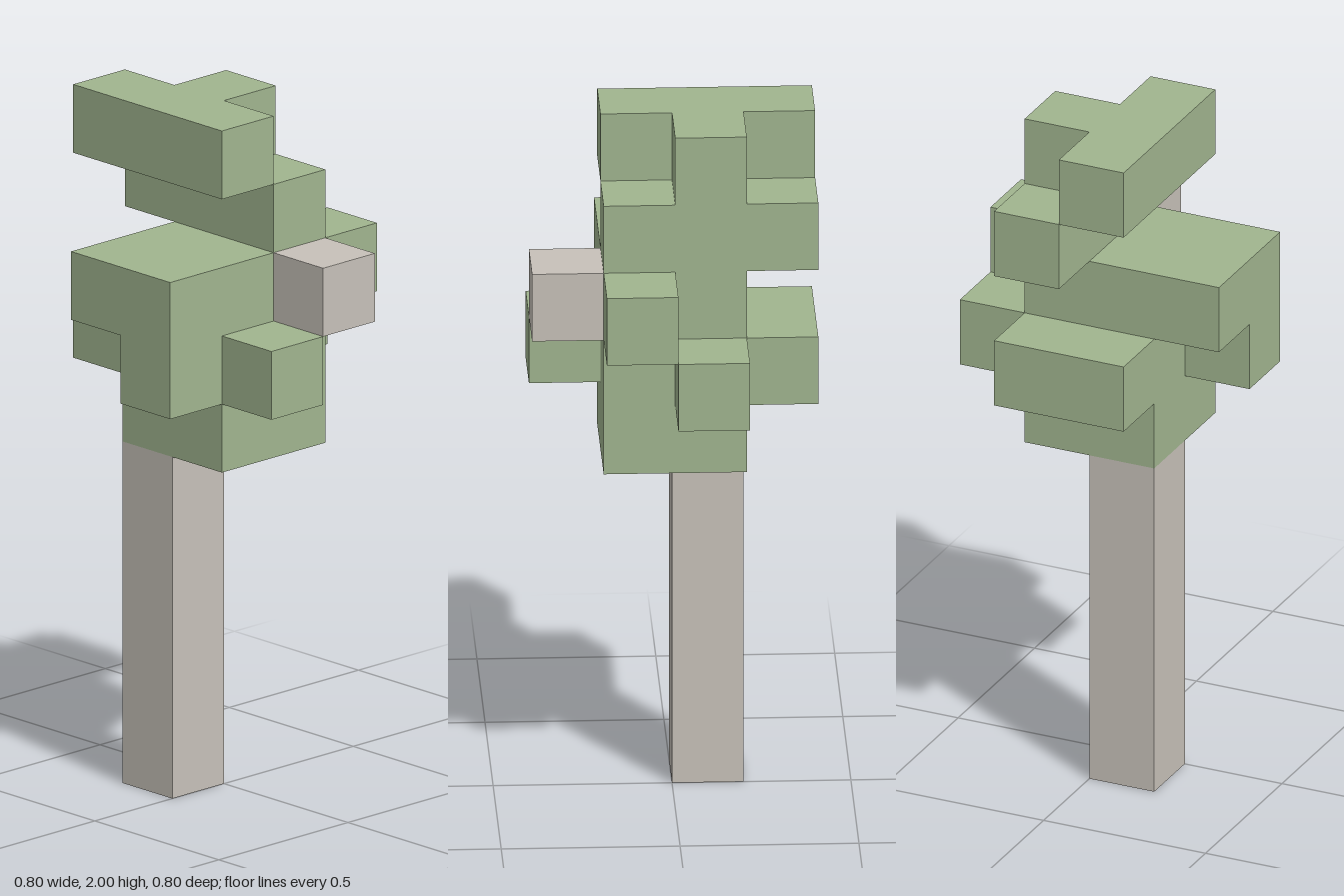
import * as THREE from 'three';
import { mergeGeometries } from 'three/addons/utils/BufferGeometryUtils.js';

const CELL = 0.2;

// Block layers from the ground up: rows run back to front, characters along +x.
// T = trunk, B = branch stub, F = foliage
const TRUNK = ['....', '....', '.T..', '....'];
const LAYERS = [
  TRUNK, TRUNK, TRUNK, TRUNK, TRUNK,
  ['....', '.FF.', '.FF.', '....'],
  ['.F..', 'FFF.', 'FFFF', '..F.'],
  ['..F.', '.FFB', '.FF.', '.FF.'],
  ['....', 'FFF.', '....', '....'],
  ['....', '.F..', 'FFF.', '....'],
];

// Block faces: neighbour direction and the turn of a plane facing +z (undersides stay open)
const FACES = [
  { dir: [0, 0, 1], turnX: 0, turnY: 0 },
  { dir: [1, 0, 0], turnX: 0, turnY: Math.PI / 2 },
  { dir: [0, 0, -1], turnX: 0, turnY: Math.PI },
  { dir: [-1, 0, 0], turnX: 0, turnY: -Math.PI / 2 },
  { dir: [0, 1, 0], turnX: -Math.PI / 2, turnY: 0 },
];

const blockAt = (x, y, z) => LAYERS[y]?.[z]?.[x] ?? '.';

// Outer shell of all blocks of one kind, without faces between touching blocks
function shell(kind) {
  const quads = [];
  LAYERS.forEach((rows, y) => rows.forEach((row, z) => [...row].forEach((block, x) => {
    if (block !== kind) return;
    for (const { dir, turnX, turnY } of FACES) {
      if (blockAt(x + dir[0], y + dir[1], z + dir[2]) !== '.') continue;
      quads.push(new THREE.PlaneGeometry(CELL, CELL)
        .translate(0, 0, CELL / 2)
        .rotateX(turnX)
        .rotateY(turnY)
        .translate((x - 1.5) * CELL, (y + 0.5) * CELL, (z - 1.5) * CELL));
    }
  })));
  return mergeGeometries(quads);
}

export function createModel() {
  const bark = new THREE.MeshStandardMaterial({ color: 0xc7c1b9, side: THREE.DoubleSide });
  bark.name = 'bark';
  const leaf = new THREE.MeshStandardMaterial({ color: 0xa1b58f, side: THREE.DoubleSide });
  leaf.name = 'leaf green';

  const tree = new THREE.Group();
  tree.name = 'tree';
  const parts = [['trunk', 'T', bark], ['branchStub', 'B', bark], ['foliage', 'F', leaf]];
  for (const [name, kind, material] of parts) {
    const mesh = new THREE.Mesh(shell(kind), material);
    mesh.name = name;
    tree.add(mesh);
  }
  return tree;
}
